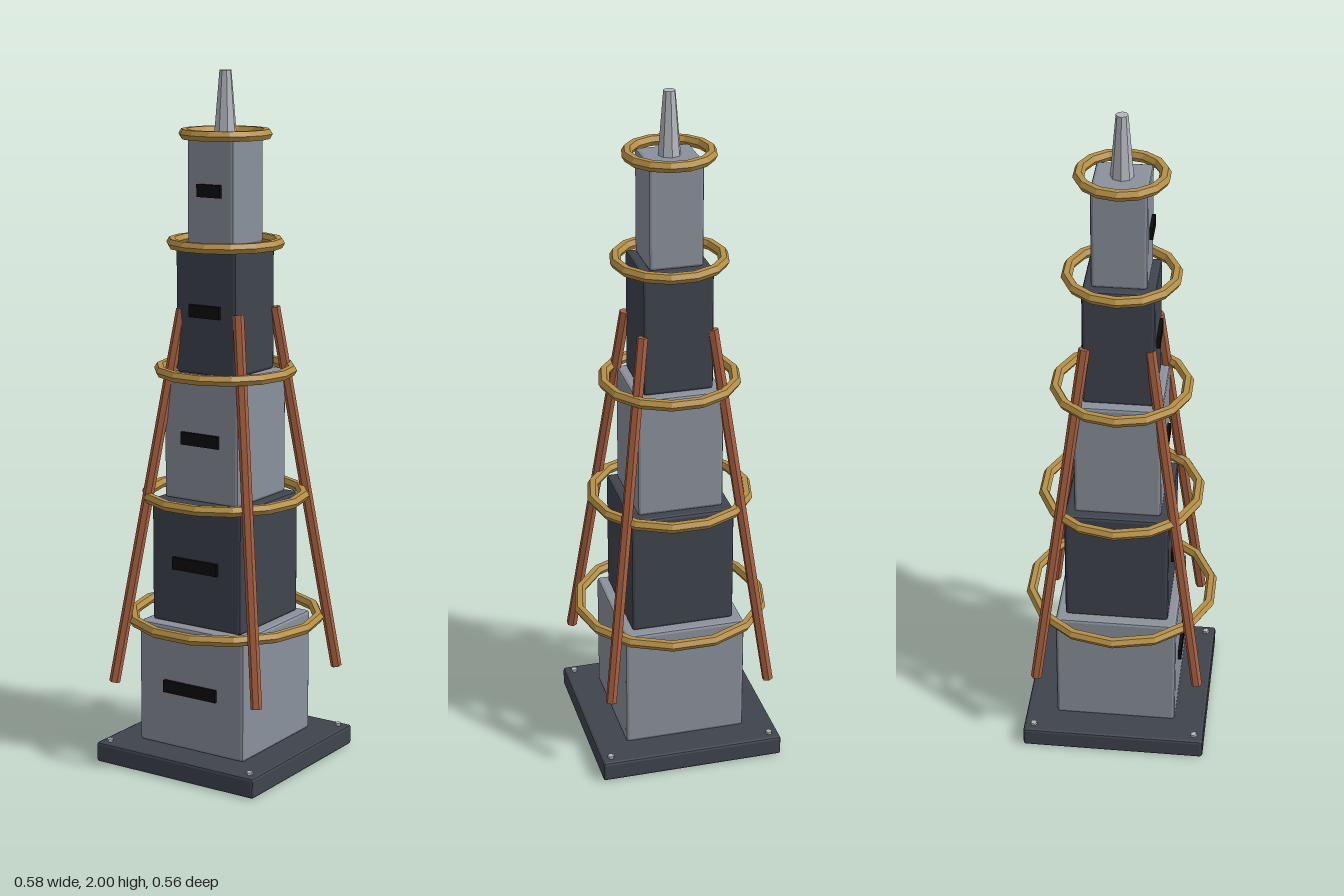
import * as THREE from 'three';
import { RoundedBoxGeometry } from 'three/addons/geometries/RoundedBoxGeometry.js';

const material = (color) => new THREE.MeshStandardMaterial({ color, flatShading: true });

export function createModel() {
  const model = new THREE.Group();
  model.name = 'tower';

  const paleMetal = material(0x8a919c);
  const darkMetal = material(0x3f444d);
  const brass = material(0xb58f45);
  const copper = material(0xa85f3e);
  const steel = material(0xb4b8be);
  const black = material(0x0c0c0c);

  const add = (name, geometry, mat, x = 0, y = 0, z = 0) => {
    const mesh = new THREE.Mesh(geometry, mat);
    mesh.name = name;
    mesh.position.set(x, y, z);
    model.add(mesh);
    return mesh;
  };

  // Base slab with a bolt in each corner
  add('base', new RoundedBoxGeometry(0.545, 0.06, 0.545, 1, 0.008), darkMetal, 0, 0.03, 0);
  for (const sx of [-1, 1]) {
    for (const sz of [-1, 1]) {
      add('bolt', new THREE.CylinderGeometry(0.01, 0.01, 0.016, 5), steel, sx * 0.243, 0.06, sz * 0.243);
    }
  }

  // Stacked tiers, each with a front window slit and a ring around its top
  const tiers = [
    // width, bottom, top, ring radius
    [0.36, 0.06, 0.425, 0.273],
    [0.305, 0.425, 0.788, 0.228],
    [0.252, 0.788, 1.152, 0.19],
    [0.203, 1.152, 1.515, 0.153],
    [0.156, 1.515, 1.82, 0.117],
  ];
  tiers.forEach(([width, bottom, top, ringRadius], i) => {
    const middle = (bottom + top) / 2;
    add('tier', new RoundedBoxGeometry(width, top - bottom, width, 1, 0.009),
      i % 2 ? darkMetal : paleMetal, 0, middle, 0);
    add('window', new THREE.BoxGeometry(width * 0.5, 0.036, 0.016), black,
      0, i === 4 ? 1.67 : middle, width / 2 + 0.002);
    const ring = new THREE.TorusGeometry(ringRadius, 0.016, 6, 14).rotateX(Math.PI / 2);
    add('ring', ring, brass, 0, top + 0.004, 0);
  });

  // Slanted struts leaning on the tower corners
  const struts = [
    // foot x, foot z, head x, head z
    [-0.222, 0.247, -0.09, 0.088],
    [0.252, 0.222, 0.105, 0.093],
    [0.238, -0.236, 0.103, -0.098],
    [-0.238, -0.232, -0.1, -0.094],
  ];
  const up = new THREE.Vector3(0, 1, 0);
  for (const [fx, fz, hx, hz] of struts) {
    const foot = new THREE.Vector3(fx, 0.248, fz);
    const head = new THREE.Vector3(hx, 1.332, hz);
    const along = head.clone().sub(foot);
    const strut = add('strut', new THREE.CylinderGeometry(0.016, 0.016, along.length(), 6), copper);
    strut.position.copy(foot).add(head).multiplyScalar(0.5);
    strut.quaternion.setFromUnitVectors(up, along.normalize());
  }

  // Tapered spire
  add('spire', new THREE.CylinderGeometry(0.017, 0.034, 0.2, 8), steel, 0, 1.9, 0);

  return model;
}
